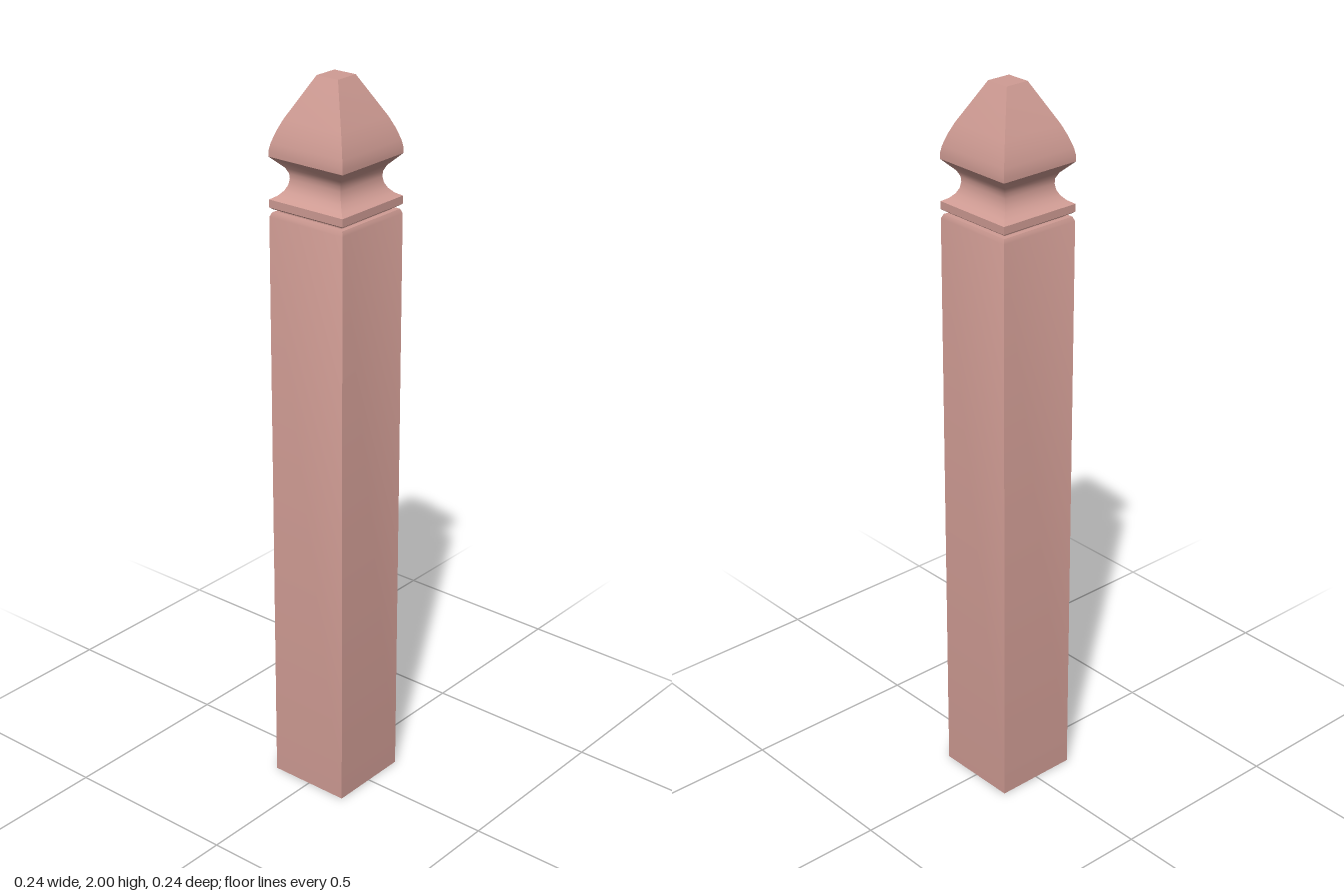
import * as THREE from 'three';
import { toCreasedNormals } from 'three/addons/utils/BufferGeometryUtils.js';

const wood = new THREE.MeshStandardMaterial({ color: 0xd09c94 });

// Square turning: each profile point is [half width, height], bottom to top
function squareTurning(name, profile) {
  const points = profile.map(([w, y]) => new THREE.Vector2(w * Math.SQRT2, y));
  const lathe = new THREE.LatheGeometry(points, 4, Math.PI / 4);
  const mesh = new THREE.Mesh(toCreasedNormals(lathe, 0.5), wood);
  mesh.name = name;
  return mesh;
}

export function createModel() {
  const group = new THREE.Group();
  group.name = 'fencePost';

  // Long square shaft with a small bevel at its top
  group.add(squareTurning('shaft', [
    [0, 0], [0.119, 0], [0.119, 1.64], [0.114, 1.652], [0, 1.652],
  ]));

  // Recessed groove between the shaft and the finial
  group.add(squareTurning('groove', [[0.1, 1.65], [0.1, 1.664]]));

  // Finial: collar, hollow neck and tapered head with a flat tip
  group.add(squareTurning('finial', [
    [0, 1.66], [0.112, 1.66], [0.119, 1.665], [0.119, 1.686],
    [0.104, 1.695], [0.092, 1.708], [0.085, 1.722], [0.082, 1.738],
    [0.083, 1.752], [0.09, 1.767], [0.119, 1.797],
    [0.119, 1.812], [0.115, 1.832], [0.105, 1.862], [0.092, 1.892],
    [0.034, 2], [0, 2],
  ]));

  return group;
}
